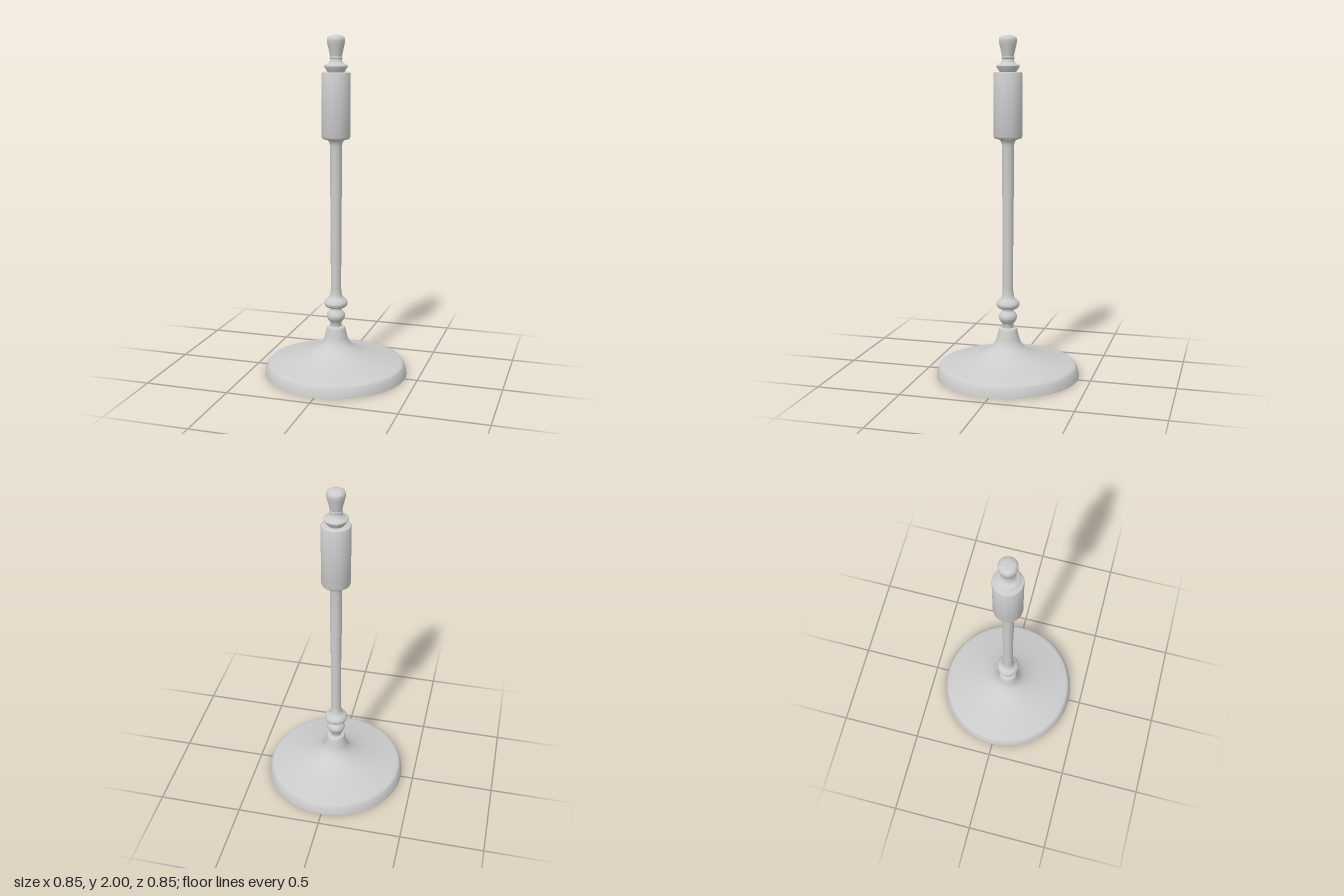
import * as THREE from 'three';
import { toCreasedNormals } from 'three/addons/utils/BufferGeometryUtils.js';

const material = new THREE.MeshStandardMaterial({ color: 0xcccccc, side: THREE.DoubleSide });
const SEGMENTS = 64;

// Smooth run of profile points [radius, height]
function smooth(points, divisions = 16) {
  const curve = new THREE.SplineCurve(points.map(([r, y]) => new THREE.Vector2(r, y)));
  return curve.getPoints(divisions).map((p) => [Math.max(p.x, 0), p.y]);
}

// Turned part; edges sharper than the crease angle stay crisp
function turned(name, profile) {
  const points = profile.map(([r, y]) => new THREE.Vector2(r, y));
  const geometry = toCreasedNormals(new THREE.LatheGeometry(points, SEGMENTS), 0.6);
  const mesh = new THREE.Mesh(geometry, material);
  mesh.name = name;
  return mesh;
}

export function createModel() {
  const model = new THREE.Group();
  model.name = 'turnedStand';

  // Hollow flared foot, open underneath
  model.add(turned('foot', [
    [0.425, 0], [0.423, 0.015], [0.411, 0.056], [0.403, 0.066],
    ...smooth([[0.395, 0.069], [0.31, 0.088], [0.22, 0.113], [0.15, 0.14], [0.1, 0.172],
      [0.075, 0.205], [0.064, 0.24], [0.056, 0.275]], 28),
    [0.052, 0.285], [0.044, 0.29], [0.033, 0.291],
  ]));

  // Lower neck with a small bead
  model.add(turned('lowerBead', [
    [0.033, 0.289], [0.033, 0.312],
    ...smooth([[0.036, 0.318], [0.049, 0.336], [0.055, 0.355], [0.049, 0.372], [0.036, 0.388]], 16),
    [0.033, 0.392], [0.033, 0.406],
  ]));

  // Larger bead sweeping up into the post
  model.add(turned('upperBead', [
    [0.033, 0.405], [0.05, 0.407],
    ...smooth([[0.056, 0.41], [0.067, 0.422], [0.069, 0.437], [0.06, 0.453],
      [0.043, 0.467], [0.035, 0.485], [0.031, 0.515]], 24),
  ]));

  // Slender post, slightly thicker above the joint
  model.add(turned('lowerPost', [[0.031, 0.515], [0.031, 1.07]]));
  model.add(turned('upperPost', [
    [0.031, 1.07], [0.034, 1.07], [0.034, 1.36],
    ...smooth([[0.034, 1.365], [0.037, 1.385], [0.046, 1.402], [0.06, 1.41]], 12),
  ]));

  // Cylindrical sleeve with softened rims
  model.add(turned('sleeve', [
    [0.058, 1.41], [0.073, 1.412], [0.08, 1.417], [0.083, 1.425],
    [0.083, 1.783], [0.081, 1.789], [0.076, 1.792], [0.03, 1.792],
  ]));

  // Flared collar
  model.add(turned('collar', [
    [0.046, 1.79], [0.05, 1.797], [0.066, 1.82], [0.068, 1.826], [0.065, 1.832],
    ...smooth([[0.06, 1.835], [0.046, 1.842], [0.037, 1.851], [0.033, 1.862]], 12),
    [0.033, 1.868],
  ]));

  // Rounded finial knob
  model.add(turned('finial', [
    [0.033, 1.866], [0.036, 1.869], [0.036, 1.875], [0.033, 1.879],
    ...smooth([[0.034, 1.882], [0.04, 1.91], [0.048, 1.945], [0.052, 1.968], [0.048, 1.985],
      [0.034, 1.995], [0.016, 1.999], [0, 2]], 32),
  ]));

  return model;
}
